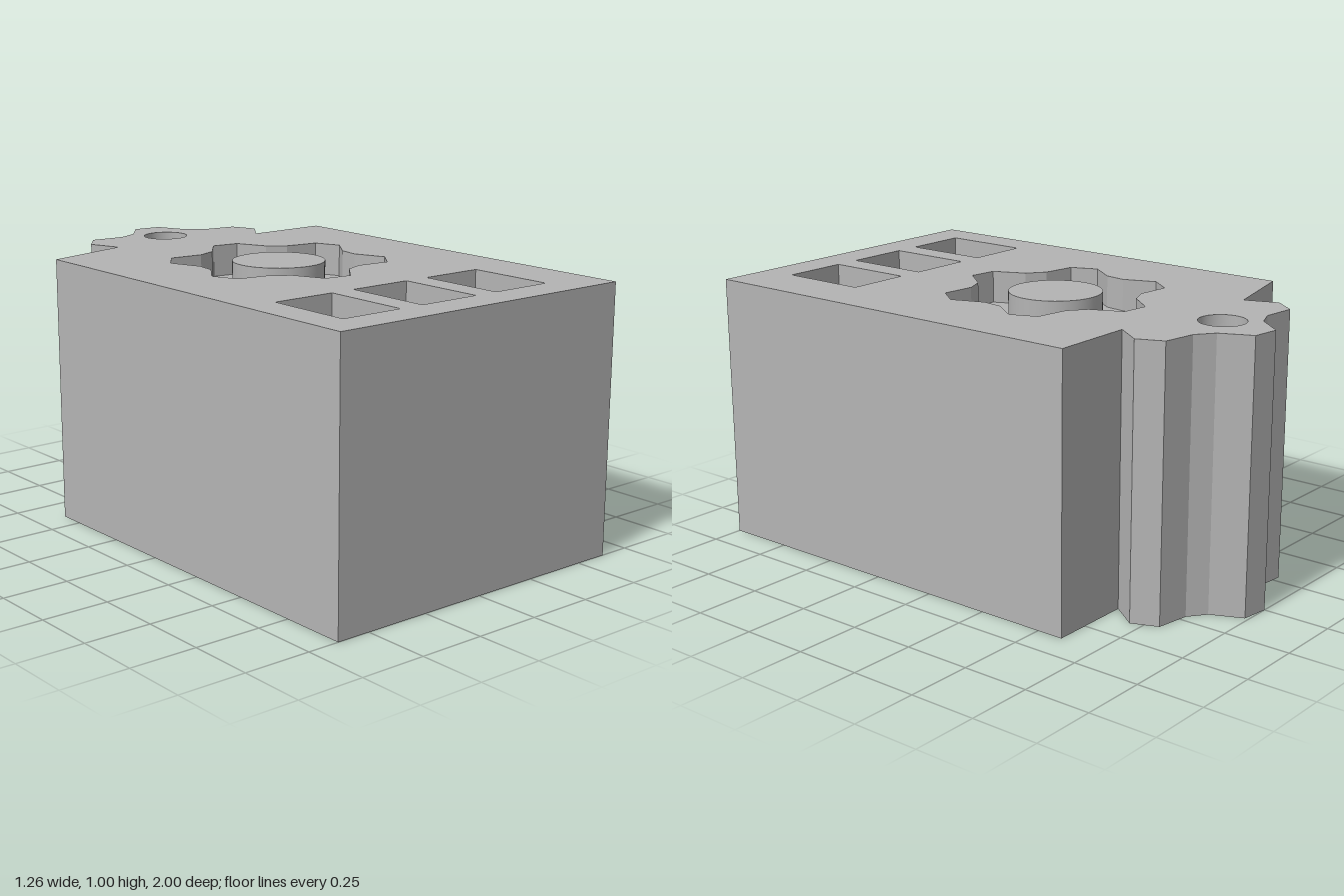
import * as THREE from 'three';
import { toCreasedNormals } from 'three/addons/utils/BufferGeometryUtils.js';

const HEIGHT = 1, FLOOR = 0.88;   // block top and pocket floors

// Plan outlines use (x, v) with v = -z, listed counter-clockwise.
const V = (x, z) => new THREE.Vector2(x, -z);

function circle(z, r, n = 48) {
  return Array.from({ length: n }, (_, i) => {
    const a = (i / n) * Math.PI * 2;
    return V(r * Math.cos(a), z - r * Math.sin(a));
  });
}

// Six-toothed gear: two tip points, then two root points, every 15 degrees
function gear(z) {
  const pts = [];
  for (let i = 23; i >= 0; i--) {
    const a = (i * Math.PI) / 12, r = i % 4 < 2 ? 0.4 : 0.312;
    pts.push(V(r * Math.sin(a), z - r * Math.cos(a)));
  }
  return pts;
}

function rect(x0, x1, z0, z1) {
  return [V(x0, z1), V(x1, z1), V(x1, z0), V(x0, z0)];
}

// Flat horizontal face at height y, optionally facing down
function plate(outline, holes, y, down = false) {
  const shape = new THREE.Shape(outline);
  shape.holes = holes.map((h) => new THREE.Path(h));
  const g = new THREE.ShapeGeometry(shape).rotateX(-Math.PI / 2);
  if (down) {
    g.setIndex(Array.from(g.index.array).reverse());
    g.computeVertexNormals();
  }
  return g.translate(0, y, 0);
}

// Vertical wall around an outline, facing outward or into a pocket
function wall(outline, y0, y1, inward = false) {
  const pts = inward ? [...outline].reverse() : outline;
  const pos = [];
  pts.forEach((p, i) => {
    const q = pts[(i + 1) % pts.length];
    const a = [p.x, y0, -p.y], b = [q.x, y0, -q.y];
    const c = [q.x, y1, -q.y], d = [p.x, y1, -p.y];
    pos.push(...a, ...b, ...c, ...a, ...c, ...d);
  });
  const g = new THREE.BufferGeometry();
  g.setAttribute('position', new THREE.Float32BufferAttribute(pos, 3));
  return toCreasedNormals(g, 0.25);
}

export function createModel() {
  const group = new THREE.Group();
  const grey = new THREE.MeshStandardMaterial({ color: 0xb4b4b4 });
  grey.name = 'plain grey';
  const add = (name, geometry) => {
    const mesh = new THREE.Mesh(geometry, grey);
    mesh.name = name;
    group.add(mesh);
  };

  // Block outline with half a gear standing out of the back
  const halfGear = gear(-0.6).filter((p) => p.y > 0.599);
  halfGear.sort((a, b) => Math.atan2(a.y - 0.6, a.x) - Math.atan2(b.y - 0.6, b.x));
  const outline = [V(-0.63, 1), V(0.63, 1), V(0.63, -0.6), ...halfGear, V(-0.63, -0.6)];

  // Pockets sunk into the top
  const pockets = { gearPocket: gear(-0.07), roundHole: circle(-0.79, 0.085) };
  [-0.38, -0.04, 0.3].forEach((x, i) => {
    pockets[`squarePocket${i + 1}`] = rect(x - 0.122, x + 0.122, 0.53, 0.865);
  });
  const boss = circle(-0.07, 0.172);

  add('blockSides', wall(outline, 0, HEIGHT));
  add('blockTop', plate(outline, Object.values(pockets), HEIGHT));
  add('blockBottom', plate(outline, [], 0, true));

  for (const [name, pts] of Object.entries(pockets)) {
    add(name + 'Walls', wall(pts, FLOOR, HEIGHT, true));
    add(name + 'Floor', plate(pts, name === 'gearPocket' ? [boss] : [], FLOOR));
  }

  // Round boss in the gear pocket, level with the top
  add('bossSide', wall(boss, FLOOR, HEIGHT));
  add('bossTop', plate(boss, [], HEIGHT));
  return group;
}
